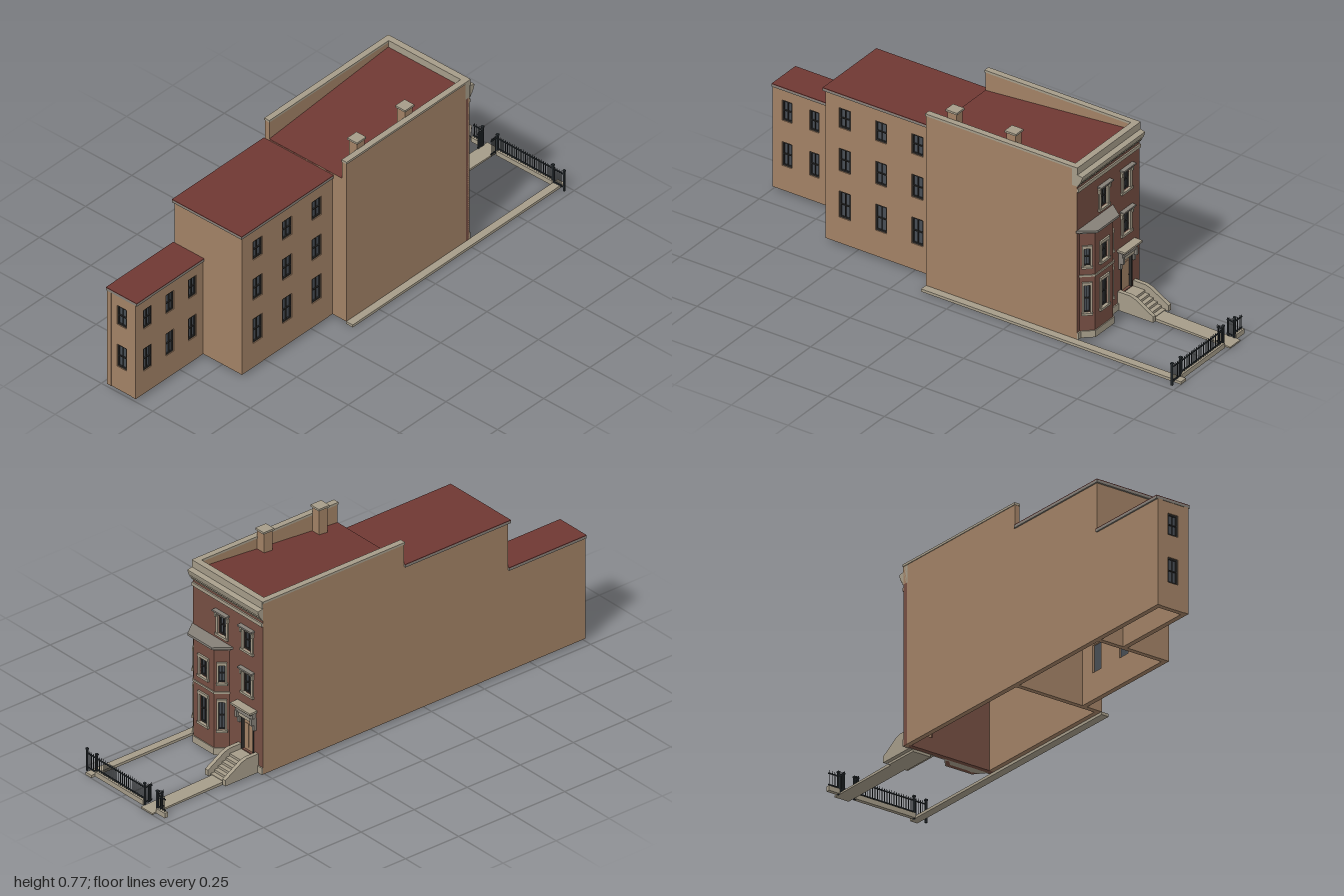
import * as THREE from 'three';

const mat = (name, color) => Object.assign(new THREE.MeshStandardMaterial({ color }), { name });

export function createModel() {
  const model = new THREE.Group();
  model.name = 'townhouse';
  const tan = mat('tanRender', 0xa18165), brick = mat('redBrick', 0x754e42), stone = mat('paleStone', 0xa59c89);
  const gray = mat('grayStone', 0x858078), roofRed = mat('roofRed', 0x6f3833), glass = mat('glass', 0x474d54);
  const dark = mat('darkFrame', 0x2d2c2b), iron = mat('iron', 0x2a3034);

  const add = (parent, name, geo, material) => {
    const m = new THREE.Mesh(geo, material);
    m.name = name;
    parent.add(m);
    return m;
  };
  // Box given by its lower and upper corners
  const box = (parent, name, material, x0, x1, y0, y1, z0, z1) => {
    const m = add(parent, name, new THREE.BoxGeometry(x1 - x0, y1 - y0, z1 - z0), material);
    m.position.set((x0 + x1) / 2, (y0 + y1) / 2, (z0 + z1) / 2);
    return m;
  };
  const shapeOf = pts => new THREE.Shape(pts.map(p => new THREE.Vector2(...p)));
  const extrude = (shape, depth) => new THREE.ExtrudeGeometry(shape, { depth, bevelEnabled: false });
  // Horizontal prism from an (x, z) outline
  const prism = (name, material, pts, y0, y1) => {
    const m = add(model, name, extrude(shapeOf(pts.map(([x, z]) => [x, -z])), y1 - y0), material);
    m.rotation.x = -Math.PI / 2;
    m.position.y = y0;
    return m;
  };

  // Wall group: local z = 0 is the outer surface, local +z points outward.
  // holes: [u centre, y0, width, height]
  const wall = (name, material, x, z, turn, pts, holes = [], t = 0.02) => {
    const g = new THREE.Group();
    g.name = name;
    g.position.set(x, 0, z);
    g.rotation.y = turn;
    model.add(g);
    const s = shapeOf(pts);
    for (const [u, y, w, h] of holes)
      s.holes.push(new THREE.Path([[u - w / 2, y], [u - w / 2, y + h], [u + w / 2, y + h], [u + w / 2, y]]
        .map(p => new THREE.Vector2(...p))));
    add(g, name + 'Surface', extrude(s, t), material).position.z = -t;
    return g;
  };
  const rect = (u0, u1, y0, y1) => [[u0, y0], [u1, y0], [u1, y1], [u0, y1]];

  // Sash window, with an optional stone surround and hood
  const sash = (g, [u, y, w, h], trim, hood) => {
    const a = u - w / 2, b = u + w / 2, f = Math.min(0.006, w * 0.14), top = y + h, mid = y + h / 2;
    box(g, 'glass', glass, a, b, y, top, -0.012, -0.009);
    for (const [l, r] of [[a, a + f], [b - f, b], [u - 0.001, u + 0.001]])
      box(g, 'sashUpright', dark, l, r, y, top, -0.011, -0.004);
    for (const [l, r] of [[y, y + f], [mid - 0.002, mid + 0.002], [top - f, top]])
      box(g, 'sashRail', dark, a, b, l, r, -0.011, -0.004);
    if (!trim) return;
    const k = trim;
    for (const [l, r] of [[a - k, a], [b, b + k]]) box(g, 'jamb', stone, l, r, y, top, -0.006, 0.005);
    box(g, 'sill', stone, a - k - 0.002, b + k + 0.002, y - 0.009, y, -0.006, 0.009);
    box(g, 'lintel', stone, a - k, b + k, top, top + 0.012, -0.006, 0.007);
    if (!hood) return;
    box(g, 'hood', gray, a - 0.017, b + 0.017, top + 0.012, top + 0.018, 0, 0.018);
    box(g, 'hoodMoulding', stone, a - 0.013, b + 0.013, top + 0.004, top + 0.012, 0, 0.012);
    for (const c of [a - 0.01, b + 0.01])
      box(g, 'hoodBracket', stone, c - 0.004, c + 0.004, top - 0.012, top + 0.004, 0, 0.01);
  };
  const windows = (g, list, trim, hood) => list.forEach(w => sash(g, w, trim, hood));
  const grid = (us, rows, w) => us.flatMap(u => rows.map(([y0, y1]) => [u, y0, w, y1 - y0]));

  // Tan side and rear walls, open underneath
  const B = 0.012, back = -0.222, front = 0.172, H = Math.PI / 2;
  wall('mainSideWall', tan, 0, front, 0, rect(-0.145, 0.52, B, 0.726));
  wall('longPartyWall', tan, 0, back, Math.PI,
    [[-0.52, B], [1, B], [1, 0.435], [0.635, 0.435], [0.635, 0.632], [0.145, 0.632], [0.145, 0.726], [-0.52, 0.726]]);
  wall('mainRearWall', tan, -0.145, 0, -H, rect(back + 0.02, front - 0.02, B, 0.65));
  const midWins = grid([-0.55, -0.39, -0.23], [[0.12, 0.23], [0.315, 0.41], [0.497, 0.58]], 0.05);
  windows(wall('middleSideWall', tan, 0, 0.105, 0, rect(-0.635, -0.145, B, 0.632), midWins), midWins);
  wall('middleRearWall', tan, -0.635, 0, -H, rect(back + 0.02, 0.085, B, 0.632));
  const rearRows = [[0.115, 0.215], [0.305, 0.39]];
  const rearWins = grid([-0.935, -0.815, -0.693], rearRows, 0.043);
  windows(wall('rearSideWall', tan, 0, -0.083, 0, rect(-1, -0.635, B, 0.435), rearWins), rearWins);
  const endWins = grid([-0.152], rearRows, 0.045);
  windows(wall('rearEndWall', tan, -0.998, 0, -H, rect(back + 0.02, -0.103, B, 0.435), endWins), endWins);

  // Roofs and eaves
  const lowRoof = (name, x0, x1, z1, y) => {
    box(model, name + 'Eaves', gray, x0, x1, y, y + 0.01, -0.228, z1);
    box(model, name, roofRed, x0, x1, y + 0.01, y + 0.013, -0.228, z1);
  };
  lowRoof('middleRoof', -0.643, -0.146, 0.111, 0.631);
  lowRoof('rearRoof', -1, -0.636, -0.078, 0.434);
  const slope = add(model, 'mainRoof',
    extrude(shapeOf([[-0.145, 0.645], [0.5, 0.7], [0.5, 0.705], [-0.145, 0.65]]), 0.354), roofRed);
  slope.position.z = back + 0.02;

  // Parapet copings and chimneys
  for (const [z0, z1] of [[-0.225, -0.2], [0.15, 0.175]])
    box(model, 'sideCoping', stone, -0.147, 0.522, 0.726, 0.735, z0, z1);
  box(model, 'frontParapet', stone, 0.498, 0.524, 0.655, 0.735, back, front + 0.001);
  for (const x of [-0.045, 0.215]) {
    box(model, 'chimney', tan, x - 0.02, x + 0.02, 0.65, 0.762, 0.113, 0.152);
    box(model, 'chimneyCap', stone, x - 0.025, x + 0.025, 0.762, 0.77, 0.109, 0.156);
  }

  // Brick street wall with its windows and door opening
  const hoodWins = [[-0.005, 0.493, 0.044, 0.08], [0.137, 0.493, 0.044, 0.08], [0.137, 0.314, 0.044, 0.084]];
  const street = wall('streetWall', brick, 0.521, 0, H, rect(-front, -back, B, 0.656),
    [...hoodWins, [0.137, 0.07, 0.064, 0.146]]);
  windows(street, hoodWins, 0.011, true);
  box(street, 'beltCourse', stone, -front, -back, 0.63, 0.644, 0, 0.006);
  box(street, 'waterTable', stone, -front, -back, B, 0.04, 0, 0.005);

  // Stepped cornice
  const cornice = add(model, 'cornice', extrude(shapeOf([[0.52, 0.656], [0.526, 0.656], [0.526, 0.662], [0.53, 0.663],
    [0.53, 0.668], [0.534, 0.669], [0.534, 0.675], [0.538, 0.677], [0.545, 0.697], [0.545, 0.701], [0.52, 0.706]]), 0.397), stone);
  cornice.position.z = -0.223;

  // Door, transom and bracketed hood
  box(street, 'door', tan, 0.105, 0.169, 0.07, 0.19, -0.014, -0.01);
  for (const [l, r] of [[0.108, 0.135], [0.139, 0.166]]) {
    box(street, 'transomGlass', glass, l, r, 0.193, 0.209, -0.01, -0.007);
    box(street, 'doorPanel', tan, l + 0.004, r - 0.004, 0.08, 0.18, -0.01, -0.008);
  }
  box(street, 'transomFrame', tan, 0.105, 0.169, 0.19, 0.216, -0.014, -0.01);
  box(street, 'doorKnob', dark, 0.163, 0.165, 0.117, 0.121, -0.01, -0.004);
  for (const [l, r] of [[0.102, 0.106], [0.168, 0.172]]) box(street, 'doorJamb', dark, l, r, 0.07, 0.215, -0.01, 0.003);
  box(street, 'doorLintel', stone, 0.1, 0.174, 0.21, 0.228, -0.004, 0.012);
  box(street, 'hoodFrieze', gray, 0.088, 0.184, 0.228, 0.25, 0, 0.018);
  box(street, 'hoodSlab', stone, 0.08, 0.19, 0.256, 0.264, 0, 0.035);
  for (let i = 0; i < 10; i++) box(street, 'dentil', gray, 0.084 + i * 0.0106, 0.09 + i * 0.0106, 0.25, 0.256, 0, 0.03);
  for (const u of [0.094, 0.179]) {
    box(street, 'hoodBracketLower', gray, u - 0.006, u + 0.006, 0.18, 0.205, 0, 0.01);
    box(street, 'hoodBracketUpper', gray, u - 0.006, u + 0.006, 0.205, 0.232, 0, 0.022);
  }

  // Two-storey canted bay
  const bz = 0.061, bx = 0.562, wallX = 0.52, half = 0.058, outer = 0.096;
  const rows = [[0.116, 0.232], [0.312, 0.386]];
  const bayFace = (name, x, z, turn, width, glassWidth, trim) => {
    const wins = grid([0], rows, glassWidth);
    windows(wall(name, brick, x, z, turn, rect(-width / 2, width / 2, B, 0.458), wins, 0.014), wins, trim);
  };
  const dx = bx - wallX, dz = outer - half;
  bayFace('bayFront', bx, bz, H, half * 2, 0.042, 0.008);
  for (const s of [1, -1])
    bayFace('baySide', (bx + wallX) / 2, bz + s * (half + outer) / 2, H - s * Math.atan2(dx, dz), Math.hypot(dx, dz), 0.024, 0.007);
  const bayOutline = e => [[wallX, bz + outer + e], [bx + e, bz + half + e * 0.5],
    [bx + e, bz - half - e * 0.5], [wallX, bz - outer - e]];
  prism('bayBase', stone, bayOutline(0.004), B, 0.04);
  prism('bayBand', stone, bayOutline(0.004), 0.267, 0.275);
  prism('bayFrieze', gray, bayOutline(0.006), 0.45, 0.46);
  prism('bayRoof', gray, bayOutline(0.02), 0.46, 0.469);

  // Stoop with sloping cheek walls
  const doorZ = -0.14;
  for (let i = 0; i < 6; i++)
    box(model, 'step', stone, 0.52, 0.665 - i * 0.018, i ? 0.01 * i : 0.002, 0.01 * (i + 1) + 0.006, doorZ - 0.04, doorZ + 0.04);
  for (const z of [-0.197, -0.1])
    add(model, 'stoopCheek', extrude(shapeOf([[0.52, 0.01], [0.677, 0.01], [0.677, 0.034], [0.6, 0.08], [0.575, 0.088], [0.52, 0.088]]), 0.016), stone)
      .position.z = z;

  // Paths and kerbs
  const path = add(model, 'frontPath', extrude(shapeOf([[0.66, 0.002], [1, 0], [1, 0.006], [0.66, 0.014]]), 0.064), stone);
  path.position.z = doorZ - 0.032;
  box(model, 'sidePath', stone, -0.145, 1, 0.001, 0.012, 0.171, 0.203);
  const fx = 0.975;
  for (const [z0, z1] of [[-0.1, 0.172], [-0.222, -0.172]])
    box(model, 'fenceKerb', stone, fx - 0.008, fx + 0.008, 0.002, 0.022, z0, z1);

  // Iron railings, built along local x
  const railing = (name, x, z, turn, length, count, y0) => {
    const g = new THREE.Group();
    g.name = name;
    g.position.set(x, 0, z);
    g.rotation.y = turn;
    model.add(g);
    for (const y of [y0, 0.072]) box(g, 'rail', iron, 0, length, y, y + 0.004, -0.002, 0.002);
    for (let i = 0; i < count; i++) {
      const u = (i + 0.5) * length / count;
      box(g, 'picket', iron, u - 0.0011, u + 0.0011, y0 - 0.006, 0.079, -0.0011, 0.0011);
      add(g, 'spearTip', new THREE.ConeGeometry(0.0024, 0.009, 4), iron).position.set(u, 0.083, 0);
    }
  };
  railing('longFence', fx, 0.172, H, 0.272, 25, 0.027);
  railing('shortFence', fx, -0.172, H, 0.046, 4, 0.027);
  railing('sideGate', fx, 0.224, H, 0.05, 5, 0.014);
  for (const z of [-0.104, -0.168]) railing('openGate', fx, z, Math.PI, 0.032, 6, 0.014);
  for (const z of [0.224, 0.17, -0.1, -0.172]) {
    box(model, 'gatePost', iron, fx - 0.0035, fx + 0.0035, 0, 0.088, z - 0.0035, z + 0.0035);
    box(model, 'postCap', iron, fx - 0.005, fx + 0.005, 0.088, 0.094, z - 0.005, z + 0.005);
  }
  return model;
}
